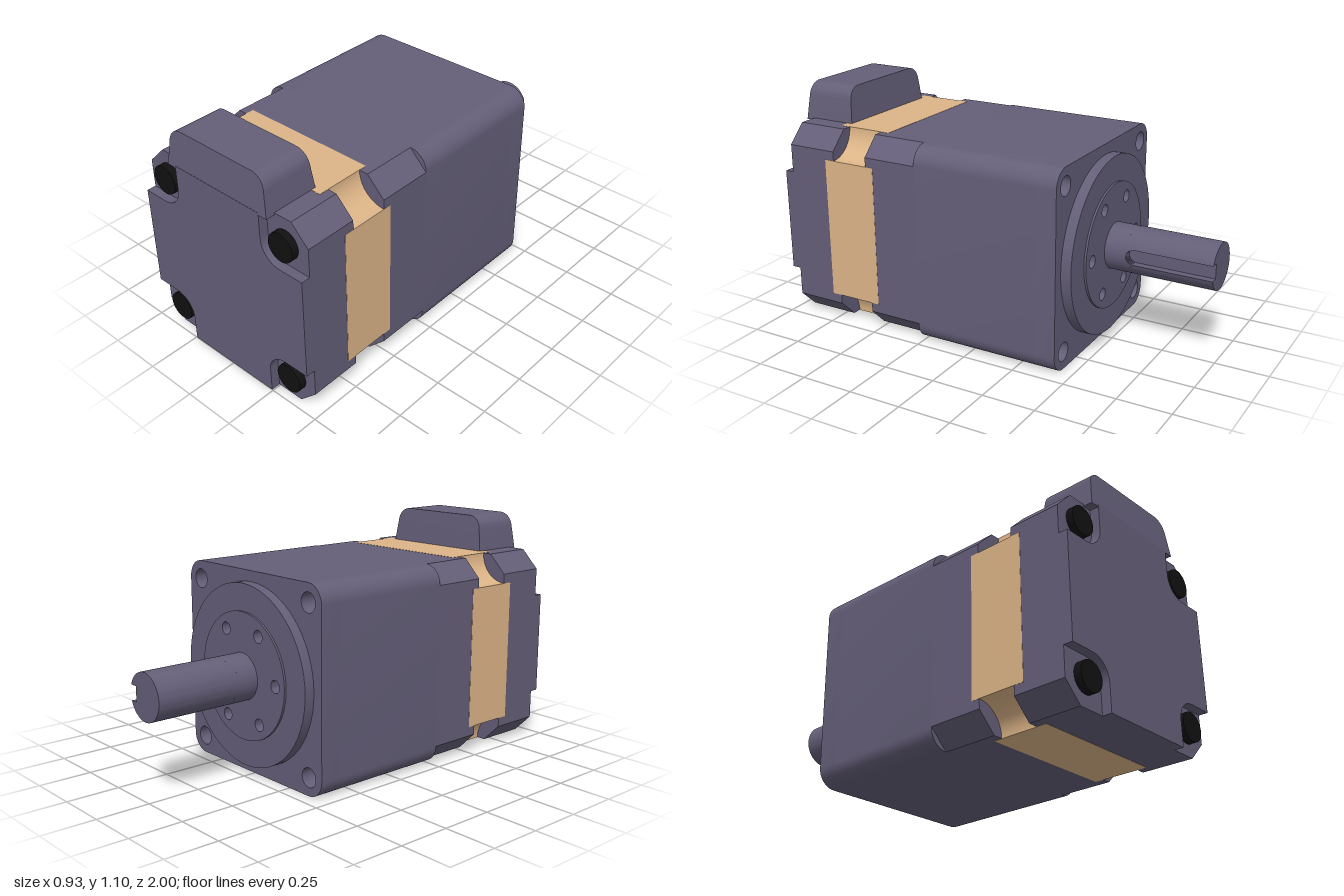
import * as THREE from 'three';
import { toCreasedNormals } from 'three/addons/utils/BufferGeometryUtils.js';

const grey = new THREE.MeshStandardMaterial({ color: 0x645e78 });
const tan = new THREE.MeshStandardMaterial({ color: 0xdcb487 });
const black = new THREE.MeshStandardMaterial({ color: 0x111111 });

const H = 0.466; // half width of the square housing
const DEG = Math.PI / 180;

// Points along an arc, angles in degrees
function arc(cx, cy, r, a0, a1, n = 12) {
  return Array.from({ length: n + 1 }, (_, i) => {
    const a = (a0 + (a1 - a0) * i / n) * DEG;
    return new THREE.Vector2(cx + r * Math.cos(a), cy + r * Math.sin(a));
  });
}

// Square outline made from one corner repeated by quarter turns
function fourFold(corner) {
  const pts = [];
  const origin = new THREE.Vector2();
  for (let k = 0; k < 4; k++) {
    for (const p of corner) pts.push(p.clone().rotateAround(origin, k * Math.PI / 2));
  }
  return new THREE.Shape(pts);
}

function disc(r) {
  return new THREE.Shape(arc(0, 0, r, 0, 360, 64).slice(0, -1));
}

function addHoles(shape, count, ringRadius, r, startDeg) {
  for (let i = 0; i < count; i++) {
    const a = (startDeg + i * 360 / count) * DEG;
    const pts = arc(ringRadius * Math.cos(a), ringRadius * Math.sin(a), r, 0, 360, 24).slice(0, -1);
    shape.holes.push(new THREE.Path(pts));
  }
  return shape;
}

export function createModel() {
  const model = new THREE.Group();
  model.name = 'gearedMotor';
  const motor = new THREE.Group();
  motor.name = 'motorAssembly';
  motor.position.y = H;
  model.add(motor);

  function add(name, geometry, material, parent = motor) {
    const mesh = new THREE.Mesh(geometry, material);
    mesh.name = name;
    parent.add(mesh);
    return mesh;
  }

  // Extrude an outline between two z positions
  function prism(name, shape, z0, z1, material = grey, parent = motor) {
    const geo = new THREE.ExtrudeGeometry(shape, { depth: z1 - z0, bevelEnabled: false, curveSegments: 16 });
    geo.translate(0, 0, z0);
    return add(name, toCreasedNormals(geo, 0.6), material, parent);
  }

  const v = (x, y) => new THREE.Vector2(x, y);
  const rounded = () => fourFold(arc(H - 0.085, H - 0.085, 0.085, 0, 90));
  const chamfered = fourFold([v(H, H - 0.087), v(H - 0.087, H)]);
  const coved = fourFold(arc(H, H, 0.131, 270, 180, 16));
  const pocketed = fourFold([v(H, 0.245), ...arc(0.345, 0.345, 0.1, 270, 180), v(0.245, H)]);

  // Gearbox housing, with four mounting holes in its face
  prism('mountingFace', addHoles(rounded(), 4, 0.382 * Math.SQRT2, 0.045, 45), -0.44, -0.34);
  prism('gearboxHousing', rounded(), -0.34, 0.265);

  // Motor housing with chamfered corners, in two parts around the band
  prism('motorHousing', chamfered, 0.265, 0.53);
  prism('endHousing', chamfered, 0.71, 0.957);
  prism('endCover', pocketed, 0.957, 1);

  // Coloured band: hollow corners and four flat side plates
  prism('bandCore', coved, 0.53, 0.71, tan);
  for (let k = 0; k < 4; k++) {
    const side = new THREE.Group();
    side.name = 'bandSide';
    side.rotation.z = k * Math.PI / 2;
    motor.add(side);
    const plate = add('bandPlate', new THREE.BoxGeometry(0.67, 0.012, 0.267), tan, side);
    plate.position.set(0, H - 0.005, 0.624);
  }

  // Cover screws
  for (const x of [-0.345, 0.345]) {
    for (const y of [-0.343, 0.345]) {
      const screw = add('coverScrew', new THREE.CylinderGeometry(0.067, 0.067, 0.036, 40), black);
      screw.rotation.x = Math.PI / 2;
      screw.position.set(x, y, 0.972);
    }
  }

  // Cable connector block, tapering towards its rounded top
  const top = 1.1 - H;
  const block = new THREE.Shape([
    v(-0.29, H - 0.01), v(0.29, H - 0.01),
    ...arc(0.207, top - 0.067, 0.067, 5, 90),
    ...arc(-0.207, top - 0.067, 0.067, 90, 175),
  ]);
  let blockGeo = new THREE.ExtrudeGeometry(block, { depth: 0.267, bevelEnabled: false });
  blockGeo.translate(0, 0, 0.733);
  const pos = blockGeo.attributes.position;
  for (let i = 0; i < pos.count; i++) {
    const t = Math.max(0, (pos.getY(i) - H) / (top - H));
    const z = pos.getZ(i);
    pos.setZ(i, z > 0.9 ? z - 0.017 * t : z + 0.017 * t);
  }
  blockGeo.computeVertexNormals();
  add('connectorBlock', toCreasedNormals(blockGeo, 0.6), grey);

  // Output flange: two stepped discs with a ring of six holes
  prism('pilotDisc', addHoles(disc(0.417), 6, 0.23, 0.029, 0), -0.488, -0.44);
  prism('innerDisc', addHoles(disc(0.293), 6, 0.23, 0.029, 0), -0.498, -0.488);

  // Shaft with a keyway whose inner end is round
  const R = 0.108, key = 0.035, floor = 0.066;
  const shaft = new THREE.Group();
  shaft.name = 'outputShaft';
  motor.add(shaft);
  prism('shaftBase', disc(R), -0.6, -0.49, grey, shaft);
  const notched = (h) => {
    const a = Math.asin(h / R) / DEG;
    return new THREE.Shape([v(floor, h), ...arc(0, 0, R, a, 360 - a, 60), v(floor, -h)]);
  };
  const steps = 8;
  for (let i = 0; i < steps; i++) {
    const d0 = key * (1 - Math.cos(i / steps * Math.PI / 2));
    const d1 = key * (1 - Math.cos((i + 1) / steps * Math.PI / 2));
    const h = key * Math.sin((i + 0.5) / steps * Math.PI / 2);
    prism('keywayEnd', notched(h), -0.6 - d1, -0.6 - d0, grey, shaft);
  }
  prism('keyedShaft', notched(key), -1, -0.6 - key, grey, shaft);

  return model;
}
